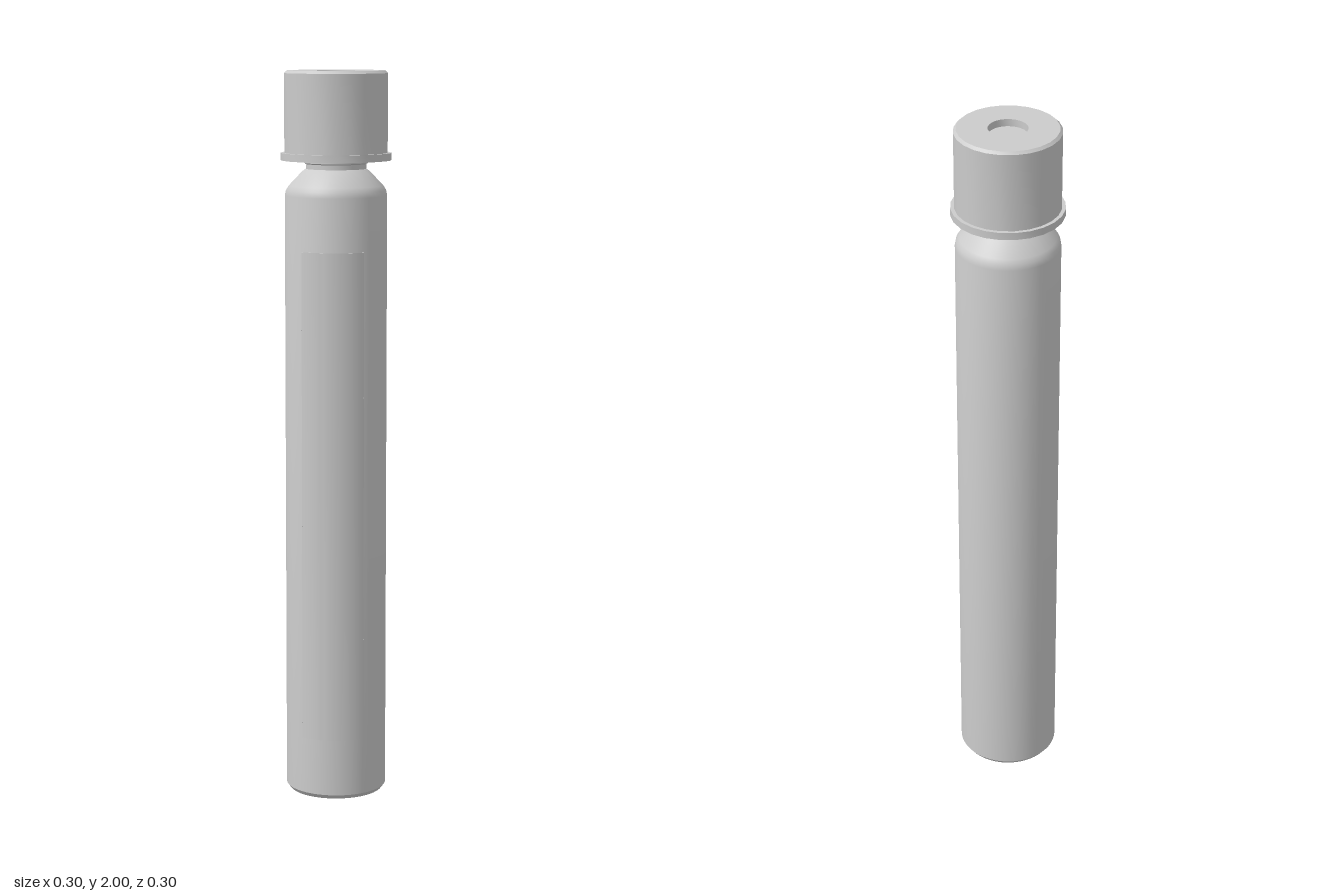
import * as THREE from 'three';
import { toCreasedNormals } from 'three/addons/utils/BufferGeometryUtils.js';

const material = new THREE.MeshStandardMaterial({ color: 0xcccccc });

// Turns [radius, height] points, ordered so the outside runs upwards.
function turned(name, points, sides, start = 0, sweep = Math.PI * 2) {
  const profile = points.map(([r, y]) => new THREE.Vector2(r, y));
  const lathe = new THREE.LatheGeometry(profile, sides, start, sweep);
  const mesh = new THREE.Mesh(toCreasedNormals(lathe, 0.5), material);
  mesh.name = name;
  return mesh;
}

export function createModel() {
  const group = new THREE.Group();
  group.name = 'vial';

  // Tube with bevelled base, sloped shoulder and a neck reaching into the cap
  group.add(turned('body', [
    [0, 0], [0.13, 0], [0.139, 0.012],
    [0.139, 1.665], [0.136, 1.68], [0.128, 1.692],
    [0.092, 1.73], [0.082, 1.737],
    [0.082, 1.75], [0.087, 1.753], [0.087, 1.955], [0, 1.955],
  ], 48));

  // Hollow cap with a flange at its rim and a recessed hole in the top
  group.add(turned('cap', [
    [0, 1.96], [0.13, 1.96], [0.13, 1.76],
    [0.15, 1.76], [0.15, 1.78], [0.14, 1.78],
    [0.14, 1.993], [0.133, 2], [0.052, 2],
    [0.052, 1.98], [0, 1.98],
  ], 24));

  // Thin label wrapped round part of the tube
  const labelSweep = THREE.MathUtils.degToRad(73);
  const inner = 0.138, outer = 0.1415, low = 0.17, high = 1.52;
  const label = new THREE.Group();
  label.name = 'label';
  label.add(turned('labelSheet', [
    [inner, low], [outer, low], [outer, high], [inner, high],
  ], 16, -labelSweep, labelSweep));

  // Side edges of the label
  for (const angle of [0, -labelSweep]) {
    const edge = new THREE.Mesh(
      new THREE.BoxGeometry(0.0006, high - low, outer - inner), material);
    const r = (inner + outer) / 2;
    edge.position.set(Math.sin(angle) * r, (low + high) / 2, Math.cos(angle) * r);
    edge.rotation.y = angle;
    edge.name = 'labelEdge';
    label.add(edge);
  }
  group.add(label);

  return group;
}
